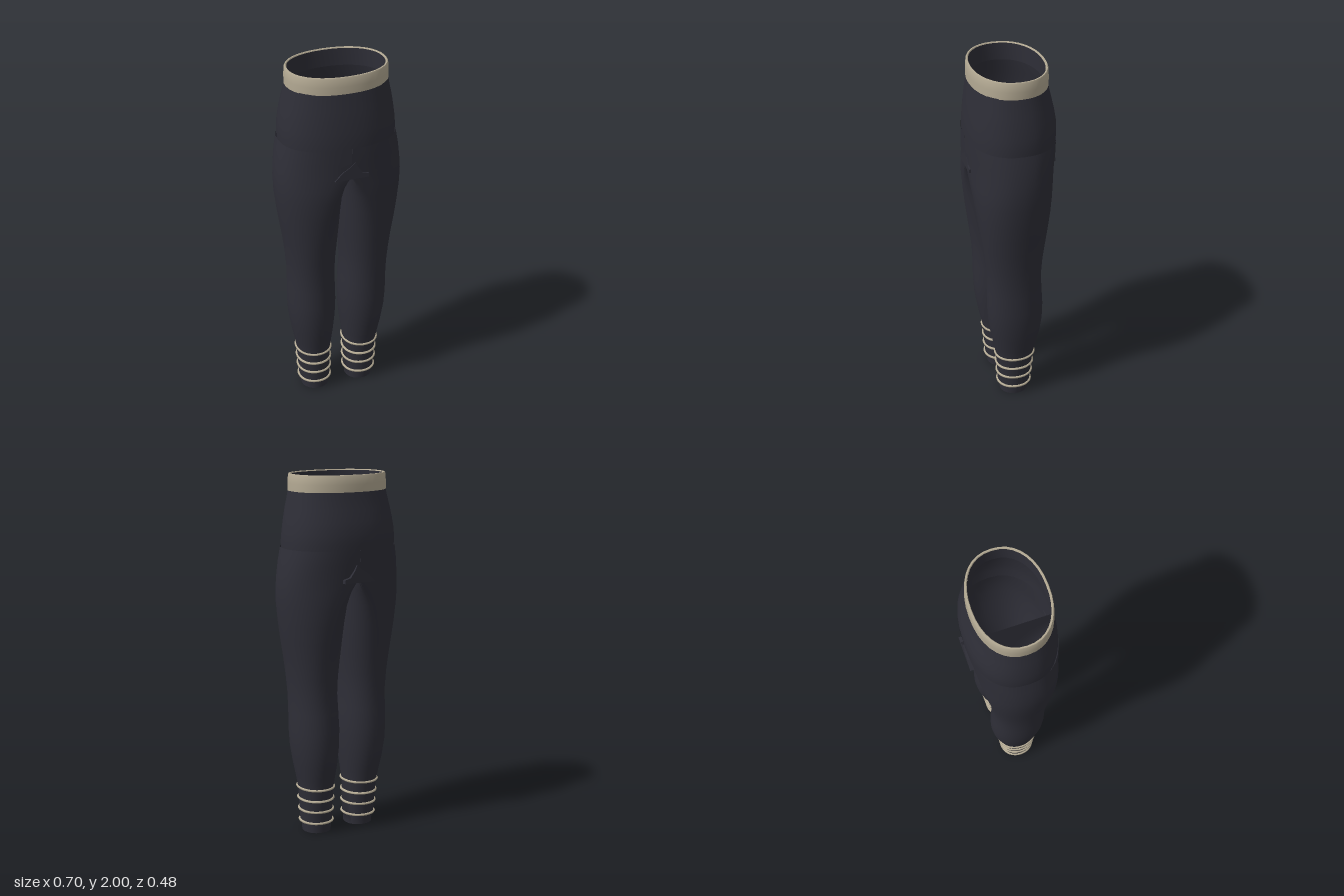
import * as THREE from 'three';
import { toCreasedNormals } from 'three/addons/utils/BufferGeometryUtils.js';

const SEG = 36;
const spow = (v, e) => Math.sign(v) * Math.pow(Math.abs(v), e);

// Leg rows: y, inner x, outer x, back z, front z, blend towards half a hip section
const LEG = [
  [0, 0.057, 0.215, -0.072, 0.09, 0], [0.05, 0.055, 0.217, -0.075, 0.092, 0],
  [0.056, 0.05, 0.225, -0.083, 0.1, 0], [0.25, 0.048, 0.236, -0.1, 0.112, 0],
  [0.32, 0.04, 0.248, -0.117, 0.127, 0], [0.4, 0.03, 0.264, -0.135, 0.143, 0],
  [0.5, 0.021, 0.279, -0.148, 0.158, 0], [0.6, 0.018, 0.285, -0.15, 0.164, 0],
  [0.7, 0.022, 0.284, -0.143, 0.164, 0], [0.8, 0.026, 0.286, -0.137, 0.167, 0],
  [0.9, 0.022, 0.294, -0.143, 0.177, 0], [1.0, 0.014, 0.306, -0.156, 0.19, 0.03],
  [1.1, 0.007, 0.322, -0.17, 0.203, 0.1], [1.2, 0.002, 0.336, -0.185, 0.215, 0.22],
  [1.3, 0, 0.347, -0.198, 0.227, 0.42], [1.38, 0, 0.35, -0.208, 0.234, 0.7],
  [1.45, 0, 0.346, -0.218, 0.237, 1], [1.53, 0, 0.336, -0.228, 0.24, 1],
  [1.61, 0, 0.321, -0.234, 0.24, 1],
];
// Torso rows: y, half width, back z, front z
const TORSO = [
  [1.57, 0.314, -0.23, 0.236], [1.64, 0.318, -0.235, 0.238], [1.7, 0.313, -0.234, 0.234],
  [1.76, 0.304, -0.224, 0.229], [1.82, 0.293, -0.21, 0.222], [1.88, 0.279, -0.196, 0.214],
  [1.93, 0.27, -0.188, 0.208],
];

// Sample a row table at height y
function rowAt(table, y) {
  let i = 0;
  while (i < table.length - 2 && table[i + 1][0] < y) i++;
  const t = (y - table[i][0]) / (table[i + 1][0] - table[i][0]);
  return table[i].map((v, k) => THREE.MathUtils.lerp(v, table[i + 1][k], t));
}

// Closed oval section
function oval(y, x0, x1, z0, z1, n) {
  return Array.from({ length: SEG }, (_, i) => {
    const a = (i / SEG) * Math.PI * 2;
    return [
      (x0 + x1) / 2 + ((x1 - x0) / 2) * spow(Math.cos(a), 2 / n), y,
      (z0 + z1) / 2 + ((z1 - z0) / 2) * spow(Math.sin(a), 2 / n),
    ];
  });
}

// Leg section: an oval at the ankle, half of the hip oval at the crotch
function legSection([y, x0, x1, z0, z1, t], grow = 0) {
  const round = oval(y, x0 - grow, x1 + grow, z0 - grow, z1 + grow, 2.1);
  const hip = oval(y, -x1, x1, z0, z1, 2.35);
  return round.map((p, i) => [
    THREE.MathUtils.lerp(p[0], Math.max(hip[i][0], 0.0005), t), y,
    THREE.MathUtils.lerp(p[2], hip[i][2], t),
  ]);
}

// Skin a stack of sections, bottom to top
function loft(sections, crease = 0.7) {
  const index = [];
  for (let j = 0; j < sections.length - 1; j++) {
    for (let i = 0; i < SEG; i++) {
      const k = (i + 1) % SEG;
      const a = j * SEG + i, b = j * SEG + k, c = a + SEG, d = b + SEG;
      index.push(a, c, b, b, c, d);
    }
  }
  const g = new THREE.BufferGeometry();
  g.setAttribute('position', new THREE.Float32BufferAttribute(sections.flat(2), 3));
  g.setIndex(index);
  return toCreasedNormals(g, crease);
}

export function createModel() {
  const model = new THREE.Group();
  model.name = 'leggings';
  const fabric = new THREE.MeshStandardMaterial({ color: 0x2e2e37, side: THREE.DoubleSide });
  fabric.name = 'charcoal fabric';
  const trim = new THREE.MeshStandardMaterial({ color: 0xb2a892, side: THREE.DoubleSide });
  trim.name = 'beige trim';
  const add = (parent, name, geometry, material) => {
    const mesh = new THREE.Mesh(geometry, material);
    mesh.name = name;
    parent.add(mesh);
  };

  // Legs, mirrored, each with a turned-in hem and four ankle bands
  for (const side of [1, -1]) {
    const leg = new THREE.Group();
    leg.name = side > 0 ? 'leftLeg' : 'rightLeg';
    leg.scale.x = side;
    add(leg, 'legTube', loft(LEG.map((r) => legSection(r))), fabric);
    const hem = LEG[0];
    add(leg, 'hem', loft([
      legSection([0.05, ...hem.slice(1)], -0.012), legSection(hem, -0.012), legSection(hem),
    ]), fabric);
    for (const y of [0.06, 0.128, 0.193, 0.26]) {
      const ring = [[-0.007, -0.002], [-0.005, 0.007], [0, 0.01], [0.005, 0.007], [0.007, -0.002]];
      add(leg, 'ankleBand', loft(ring.map(([dy, grow]) => {
        const r = rowAt(LEG, y);
        r[0] = y + dy;
        return legSection(r, grow);
      }), 1.2), trim);
    }
    model.add(leg);
  }

  // Hip and belly panel
  add(model, 'torso', loft(TORSO.map(([y, w, z0, z1]) => oval(y, -w, w, z0, z1, 2.3))), fabric);

  // Waistband: beige outside and rim, dark lining inside
  const band = (y, inset) =>
    oval(y, -0.276 + inset, 0.276 - inset, -0.196 + inset, 0.214 - inset, 2.2);
  add(model, 'waistband', loft([
    band(1.91, 0.01), band(1.91, 0), band(1.95, 0), band(1.994, 0.003),
    band(2, 0.006), band(2, 0.013), band(1.995, 0.016),
  ]), trim);
  add(model, 'waistbandLining', loft([band(1.9, 0.017), band(1.995, 0.0165)]), fabric);

  // Crotch gussets, front and back
  const patch = new THREE.Shape([
    [-0.095, 1.435], [0.095, 1.435], [0.095, 1.455], [0.06, 1.465],
    [0.035, 1.5], [0.02, 1.53], [-0.01, 1.505], [-0.05, 1.48],
  ].map((p) => new THREE.Vector2(...p)));
  for (const [name, z, depth] of [['frontGusset', 0.23, 0.012], ['backGusset', -0.235, 0.025]]) {
    const g = new THREE.ExtrudeGeometry(patch, { depth, bevelEnabled: false });
    add(model, name, g.translate(0, 0, z), fabric);
  }
  return model;
}
